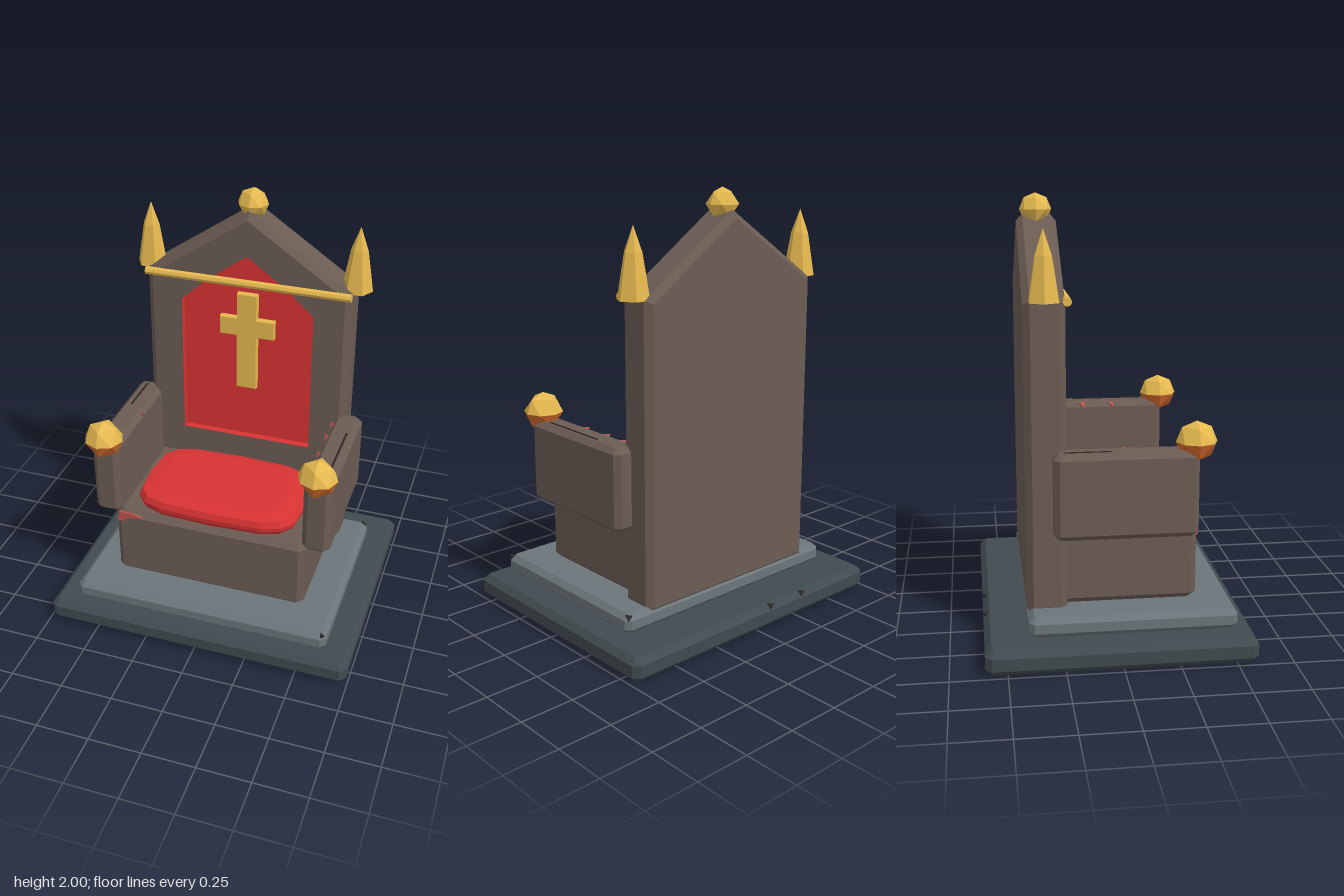
import * as THREE from 'three';

const mat = (name, color) => {
  const m = new THREE.MeshStandardMaterial({ color });
  m.name = name;
  return m;
};

const shapeOf = pts => new THREE.Shape(pts.map(p => new THREE.Vector2(p[0], p[1])));

// Gives every triangle its own flat normal
function faceted(geo) {
  const g = geo.index ? geo.toNonIndexed() : geo;
  g.computeVertexNormals();
  return g;
}

// Keeps the triangles whose centre passes the test
function keepFaces(geo, test) {
  const p = geo.attributes.position, kept = [], v = [0, 1, 2].map(() => new THREE.Vector3());
  for (let i = 0; i < p.count; i += 3) {
    v.forEach((q, k) => q.fromBufferAttribute(p, i + k));
    const centre = v[0].clone().add(v[1]).add(v[2]).divideScalar(3);
    if (test(centre)) v.forEach(q => kept.push(q.x, q.y, q.z));
  }
  const g = new THREE.BufferGeometry();
  g.setAttribute('position', new THREE.Float32BufferAttribute(kept, 3));
  return faceted(g);
}
const withoutCap = (geo, z) => keepFaces(geo, c => Math.abs(c.z - z) > 1e-4);

// Extrusion whose bevel stays inside the outline; runs from z = 0 to z = depth
function bevelled(pts, depth, bevel) {
  const g = new THREE.ExtrudeGeometry(shapeOf(pts), {
    depth: depth - 2 * bevel, bevelEnabled: true, bevelSegments: 1,
    bevelSize: bevel, bevelThickness: bevel, bevelOffset: -bevel,
  });
  return g.translate(0, 0, bevel);
}

// Box with all edges chamfered, given by its extents
function chamferBox([x0, x1], [y0, y1], [z0, z1], c) {
  const w = (x1 - x0) / 2, d = (z1 - z0) / 2;
  const pts = [[w - c, -d], [w, -d + c], [w, d - c], [w - c, d],
    [-w + c, d], [-w, d - c], [-w, -d + c], [-w + c, -d]];
  return bevelled(pts, y1 - y0, c).rotateX(-Math.PI / 2)
    .translate((x0 + x1) / 2, y0, (z0 + z1) / 2);
}

const lathe = (pts, sides) =>
  new THREE.LatheGeometry(pts.map(p => new THREE.Vector2(p[0], p[1])), sides);

// Domed cushion: a lathe pushed out to a rounded rectangle
function cushionGeometry(w, d) {
  const g = lathe([[0, 0.562], [0.95, 0.562], [0.99, 0.583], [1, 0.605],
    [0.96, 0.635], [0.8, 0.648], [0, 0.653]], 16);
  const p = g.attributes.position;
  const square = (v, r) => r < 1e-6 ? 0 : Math.sign(v) * Math.sqrt(Math.abs(v) / r) * r;
  for (let i = 0; i < p.count; i++) {
    const x = p.getX(i), z = p.getZ(i), r = Math.hypot(x, z);
    p.setX(i, w * square(x, r));
    p.setZ(i, d * square(z, r));
  }
  return faceted(g);
}

export function createModel() {
  const model = new THREE.Group();
  model.name = 'throne';
  const wood = mat('wood', 0x6b5c53), red = mat('red cloth', 0xd83333);
  const gold = mat('gold', 0xe6b94f), copper = mat('copper', 0xd06a2b);
  const stone = mat('stone', 0x6b757a), darkStone = mat('dark stone', 0x414a4f);
  const crack = mat('crack', 0x2e2826), chipped = mat('chipped red', 0xbb5650);

  const add = (name, geo, material) => {
    const m = new THREE.Mesh(geo, material);
    m.name = name;
    model.add(m);
  };

  // Plinth steps and seat block
  add('lowerStep', chamferBox([-0.742, 0.742], [0, 0.112], [-0.597, 0.597], 0.028), darkStone);
  add('upperStep', chamferBox([-0.625, 0.625], [0.112, 0.205], [-0.403, 0.525], 0.025), stone);
  add('seat', chamferBox([-0.47, 0.47], [0.205, 0.565], [-0.26, 0.363], 0.028), wood);
  add('cushion', cushionGeometry(0.405, 0.262).translate(0, 0, 0.087), red);

  // Backrest slab with gable, its front face open for the recess
  const zBack = -0.404, zFront = -0.222;
  const slab = bevelled([[-0.5, 0.17], [0.5, 0.17], [0.5, 1.57], [0, 1.91], [-0.5, 1.57]],
    zFront - zBack, 0.03).translate(0, 0, zBack);
  add('backrest', withoutCap(slab, zFront), wood);
  const panelPts = [[-0.325, 0.72], [0.325, 0.72], [0.325, 1.44], [0.2, 1.555],
    [0, 1.7], [-0.2, 1.555], [-0.325, 1.44]];
  const face = shapeOf([[-0.47, 0.2], [0.47, 0.2], [0.47, 1.554], [0, 1.874], [-0.47, 1.554]]);
  face.holes.push(shapeOf(panelPts));
  add('backrestFace', new THREE.ShapeGeometry(face).translate(0, 0, zFront), wood);

  // Recessed red panel: an extrusion turned inside out and opened at the front
  const recess = new THREE.ExtrudeGeometry(shapeOf(panelPts), { depth: 0.035, bevelEnabled: false });
  recess.scale(1, 1, -1).translate(0, 0, zFront);
  add('backPanel', withoutCap(recess, zFront), red);

  // Cross
  const crossPts = [[-0.05, 1.003], [0.05, 1.003], [0.05, 1.285], [0.135, 1.285], [0.135, 1.378],
    [0.05, 1.378], [0.05, 1.505], [-0.05, 1.505], [-0.05, 1.378], [-0.135, 1.378],
    [-0.135, 1.285], [-0.05, 1.285]];
  add('cross', bevelled(crossPts, 0.034, 0.003).translate(0, 0, -0.258), gold);

  // Trim rod and crown ball
  const rod = new THREE.CylinderGeometry(0.02, 0.02, 1, 8).rotateZ(Math.PI / 2);
  add('trimRod', faceted(rod.translate(0, 1.567, -0.215)), gold);
  const ball = r => new THREE.OctahedronGeometry(r, 1);
  add('crownBall', faceted(ball(0.073).translate(0, 1.928, -0.315)), gold);

  const spireProfile = [[0, 1.568], [0.073, 1.568], [0.058, 1.66], [0.04, 1.765], [0, 1.875]];
  for (const s of [1, -1]) {
    const side = s > 0 ? 'left' : 'right';
    // Armrest
    const xs = [0.447 * s, 0.58 * s].sort((a, b) => a - b);
    add(side + 'Armrest', chamferBox(xs, [0.535, 0.922], [-0.285, 0.35], 0.025), wood);
    // Armrest ball: gold upper half, copper lower half
    for (const [part, h, material] of [['BallTop', 1, gold], ['BallBottom', -1, copper]]) {
      const half = keepFaces(ball(0.092), c => c.y * h > 0);
      add(side + part, half.translate(0.512 * s, 0.953, 0.343), material);
    }
    // Spire
    const spire = lathe(spireProfile, 6).rotateY(Math.PI / 6);
    add(side + 'Spire', faceted(spire.translate(0.503 * s, 0, -0.315)), gold);
  }

  // Cracks along the armrest tops
  for (const [x, z, len] of [[-0.53, -0.135, 0.21], [0.54, 0.075, 0.35]]) {
    add('armrestCrack', new THREE.BoxGeometry(0.01, 0.004, len).translate(x, 0.9225, z), crack);
  }
  // Chips on the seat edge and the armrests' inner edges
  const seatChip = [[-0.46, 0.505], [-0.425, 0.51], [-0.405, 0.533], [-0.345, 0.54],
    [-0.335, 0.548], [-0.38, 0.56], [-0.45, 0.56]];
  add('seatChip', new THREE.ExtrudeGeometry(shapeOf(seatChip), { depth: 0.009, bevelEnabled: false })
    .translate(0, 0, 0.356), chipped);
  for (const [x, z, r] of [[0.456, -0.175, 0.022], [0.456, -0.06, 0.024],
    [0.456, 0.09, 0.022], [-0.456, 0.025, 0.02]]) {
    add('armrestChip', new THREE.TetrahedronGeometry(r).translate(x, 0.908, z), chipped);
  }
  // Nicks in the step edges
  for (const [x, y, z] of [[-0.29, 0.1, -0.583], [-0.08, 0.1, -0.583],
    [0.605, 0.192, 0.505], [0.605, 0.192, -0.385]]) {
    add('stepNick', new THREE.TetrahedronGeometry(0.022).translate(x, y, z), crack);
  }
  return model;
}
